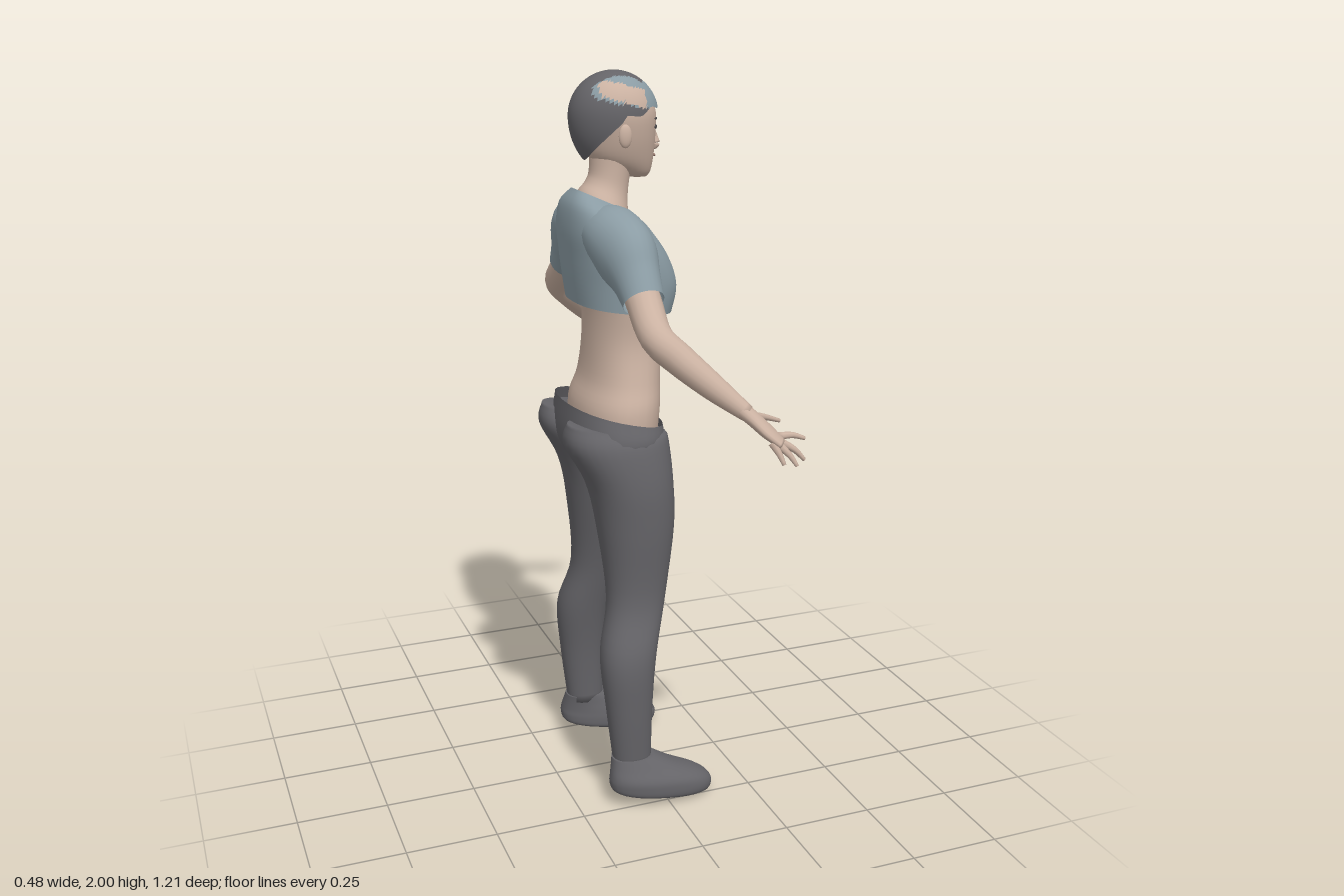
import * as THREE from 'three';

const mat = (name, color, side = THREE.FrontSide) => {
  const m = new THREE.MeshStandardMaterial({ color, side });
  m.name = name;
  return m;
};

// Catmull-Rom subdivision of rows of numbers
function smooth(rows, k = 5) {
  const out = [], n = rows.length;
  for (let i = 0; i < n - 1; i++) {
    const [a, b, c, d] = [rows[Math.max(i - 1, 0)], rows[i], rows[i + 1], rows[Math.min(i + 2, n - 1)]];
    for (let s = 0; s < k; s++) {
      const t = s / k;
      out.push(b.map((v, j) => v + 0.5 * t * (c[j] - a[j] +
        t * (2 * a[j] - 5 * v + 4 * c[j] - d[j] + t * (3 * (v - c[j]) + d[j] - a[j])))));
    }
  }
  out.push(rows[n - 1]);
  return out;
}

// Skin a list of closed rings (arrays of Vector3), with optional end caps
function skinRings(rings, capStart, capEnd) {
  const n = rings[0].length, pos = [], idx = [];
  rings.forEach(r => r.forEach(p => pos.push(p.x, p.y, p.z)));
  for (let i = 0; i < rings.length - 1; i++) for (let j = 0; j < n; j++) {
    const a = i * n + j, b = i * n + (j + 1) % n;
    idx.push(a, a + n, b, b, a + n, b + n);
  }
  const cap = (row, flip) => {
    const c = rings[row].reduce((s, p) => s.add(p), new THREE.Vector3()).divideScalar(n);
    const k = pos.length / 3;
    pos.push(c.x, c.y, c.z);
    for (let j = 0; j < n; j++) {
      const a = row * n + j, b = row * n + (j + 1) % n;
      flip ? idx.push(k, a, b) : idx.push(k, b, a);
    }
  };
  if (capStart) cap(0, true);
  if (capEnd) cap(rings.length - 1, false);
  const g = new THREE.BufferGeometry();
  g.setAttribute('position', new THREE.Float32BufferAttribute(pos, 3));
  g.setIndex(idx);
  g.computeVertexNormals();
  return g;
}

const sgnPow = (v, e) => Math.sign(v) * Math.abs(v) ** e;

// Stacked level rings: [y, back x, front x, z from, z to, tilt]
function stack(rows, { power = 2, start = true, end = true, n = 32 } = {}) {
  return skinRings(smooth(rows).map(([y, xb, xf, z0, z1, tilt]) =>
    Array.from({ length: n }, (_, j) => {
      const t = j / n * Math.PI * 2;
      const u = sgnPow(Math.cos(t), 2 / power), v = sgnPow(Math.sin(t), 2 / power);
      return new THREE.Vector3((xb + xf) / 2 + u * (xf - xb) / 2, y + tilt * u, (z0 + z1) / 2 + v * (z1 - z0) / 2);
    })), start, end);
}
const sym = rows => rows.map(([y, b, f, w, t = 0]) => [y, b, f, -w, w, t]);

// Limb along a path: [x, y, z, width radius, thickness radius]
function limb(path, { start = true, end = true, n = 16, k = 5 } = {}) {
  const rows = smooth(path, k), pts = rows.map(r => new THREE.Vector3(r[0], r[1], r[2]));
  return skinRings(rows.map((r, i) => {
    const T = pts[Math.min(i + 1, pts.length - 1)].clone().sub(pts[Math.max(i - 1, 0)]).normalize();
    const A = T.clone().cross(new THREE.Vector3(0, 1, 0)).normalize(), B = A.clone().cross(T);
    return Array.from({ length: n }, (_, j) => {
      const t = j / n * Math.PI * 2;
      return pts[i].clone().addScaledVector(A, r[3] * Math.cos(t)).addScaledVector(B, r[4] * Math.sin(t));
    });
  }), start, end);
}

// Copy reflected to the other side of z = 0
function mirrored(geo) {
  const g = geo.clone(), p = g.attributes.position, ix = g.index.array;
  for (let i = 0; i < p.count; i++) p.setZ(i, -p.getZ(i));
  for (let i = 0; i < ix.length; i += 3) [ix[i], ix[i + 1]] = [ix[i + 1], ix[i]];
  g.computeVertexNormals();
  return g;
}

// Ellipsoid baked into place
function blob(x, y, z, rx, ry, rz, turn = 0) {
  return new THREE.SphereGeometry(1, 16, 12).scale(rx, ry, rz).rotateY(turn).translate(x, y, z);
}

export function createModel() {
  const root = new THREE.Group();
  const skin = mat('skin', 0xcbb2a2);
  const shirt = mat('shirt blue grey', 0x8b9ca4, THREE.DoubleSide);
  const charcoal = mat('charcoal', 0x656468, THREE.DoubleSide);
  const eyeDark = mat('eye dark', 0x4c4a4c);
  const lip = mat('lip', 0x9c7a70);
  const add = (name, geo, material) => {
    const m = new THREE.Mesh(geo, material);
    m.name = name;
    root.add(m);
  };
  const pair = (name, geo, material) => {
    add('right' + name, geo, material);
    add('left' + name, mirrored(geo), material);
  };

  // Bare waist and neck
  add('waist', stack(sym([
    [1.0, -0.18, 0.03, 0.18], [1.12, -0.18, 0.042, 0.187], [1.2, -0.155, 0.046, 0.165],
    [1.3, -0.145, 0.052, 0.146], [1.4, -0.145, 0.058, 0.153], [1.48, -0.16, 0.05, 0.16]]), { power: 2.2 }), skin);
  add('neck', stack(sym([
    [1.58, -0.18, -0.03, 0.11, -0.03], [1.65, -0.165, -0.03, 0.085, -0.035], [1.7, -0.14, -0.03, 0.06, -0.02],
    [1.75, -0.13, -0.02, 0.056], [1.82, -0.13, 0, 0.06]])), skin);

  // Cropped shirt with short sleeves
  add('shirt', stack(sym([
    [1.392, -0.185, 0.076, 0.166, -0.015], [1.46, -0.194, 0.09, 0.174, -0.008], [1.53, -0.2, 0.062, 0.18],
    [1.6, -0.205, 0.012, 0.175, 0], [1.645, -0.198, -0.012, 0.145, -0.02], [1.668, -0.175, -0.018, 0.08, -0.035]]),
  { power: 2.5, start: false, end: false }), shirt);
  pair('Sleeve', limb([
    [-0.115, 1.605, 0.07, 0.075, 0.065], [-0.11, 1.59, 0.13, 0.08, 0.082], [-0.1, 1.548, 0.2, 0.074, 0.093],
    [-0.096, 1.5, 0.255, 0.06, 0.07], [-0.095, 1.455, 0.3, 0.053, 0.054]], { n: 24, end: false }), shirt);

  // Arms and hands
  pair('Arm', limb([
    [-0.1, 1.53, 0.23, 0.045, 0.045], [-0.095, 1.455, 0.3, 0.045, 0.046], [-0.095, 1.385, 0.385, 0.042, 0.042],
    [-0.05, 1.335, 0.425, 0.041, 0.04], [0.02, 1.27, 0.475, 0.032, 0.033], [0.09, 1.21, 0.522, 0.021, 0.021]]), skin);
  pair('Palm', limb([
    [0.07, 1.227, 0.508, 0.022, 0.021], [0.1, 1.2, 0.528, 0.027, 0.018],
    [0.135, 1.165, 0.548, 0.036, 0.016], [0.165, 1.138, 0.563, 0.033, 0.011]]), skin);
  const fingers = {
    Thumb: [[0.105, 1.2, 0.512], [0.15, 1.187, 0.492], [0.2, 1.168, 0.477]],
    IndexFinger: [[0.165, 1.15, 0.545], [0.202, 1.15, 0.546], [0.236, 1.138, 0.547]],
    MiddleFinger: [[0.163, 1.14, 0.556], [0.2, 1.118, 0.564], [0.226, 1.09, 0.568]],
    RingFinger: [[0.152, 1.138, 0.567], [0.178, 1.112, 0.582], [0.194, 1.085, 0.594]],
    LittleFinger: [[0.135, 1.145, 0.573], [0.147, 1.12, 0.588], [0.156, 1.094, 0.6]],
  };
  for (const [name, pts] of Object.entries(fingers))
    pair(name, limb(pts.map((p, i) => [...p, 0.011 - i * 0.003, 0.011 - i * 0.003]), { n: 8, k: 3 }), skin);

  // Trousers
  add('trouserWaist', stack(sym([
    [0.925, -0.15, 0.025, 0.05], [0.97, -0.19, 0.045, 0.17], [1.04, -0.222, 0.05, 0.218],
    [1.105, -0.217, 0.05, 0.198, -0.034]]), { power: 2.3, end: false }), charcoal);
  pair('TrouserLeg', stack([
    [0.125, -0.145, -0.038, 0.16, 0.247, 0], [0.3, -0.165, -0.035, 0.145, 0.262, 0],
    [0.45, -0.175, -0.02, 0.118, 0.264, 0], [0.6, -0.143, 0.02, 0.082, 0.224, 0],
    [0.8, -0.16, 0.05, 0.026, 0.235, 0], [0.93, -0.187, 0.05, 0, 0.238, 0],
    [1.04, -0.244, 0.043, -0.005, 0.222, 0], [1.08, -0.235, 0.035, 0.03, 0.195, -0.02]], { power: 2.2 }), charcoal);

  // Shoes
  pair('Shoe', stack([
    [0.022, -0.125, 0.11, 0.165, 0.27, -0.018], [0.034, -0.155, 0.137, 0.152, 0.288, -0.018],
    [0.06, -0.162, 0.138, 0.15, 0.292, -0.014], [0.085, -0.16, 0.105, 0.153, 0.288, -0.01],
    [0.115, -0.155, 0.03, 0.158, 0.268, -0.005], [0.145, -0.15, -0.032, 0.16, 0.25, 0.0]], { power: 2.3 }), charcoal);

  // Head and face
  add('head', stack(sym([
    [1.727, -0.02, 0.026, 0.02], [1.742, -0.07, 0.036, 0.042], [1.78, -0.13, 0.043, 0.067],
    [1.84, -0.15, 0.047, 0.086], [1.9, -0.16, 0.046, 0.092], [1.95, -0.14, 0.018, 0.072],
    [1.98, -0.1, -0.03, 0.03]])), skin);
  add('nose', limb([[0.037, 1.865, 0, 0.007, 0.007], [0.047, 1.83, 0, 0.01, 0.01],
    [0.051, 1.81, 0, 0.015, 0.012], [0.045, 1.798, 0, 0.01, 0.006]], { n: 10 }), skin);
  pair('Ear', blob(-0.065, 1.84, 0.09, 0.018, 0.03, 0.01), skin);
  pair('Eye', blob(0.037, 1.857, 0.039, 0.004, 0.006, 0.014, -0.42), eyeDark);
  pair('Brow', blob(0.037, 1.878, 0.04, 0.004, 0.003, 0.018, -0.42), eyeDark);
  add('mouth', blob(0.043, 1.782, 0, 0.004, 0.005, 0.022), lip);

  // Short hair: a shell from a varying hairline up to the crown
  const n = 64, rings = [];
  for (let i = 0; i <= 24; i++) {
    const t = Math.sin(i / 24 * Math.PI / 2);
    rings.push(Array.from({ length: n }, (_, j) => {
      const a = j / n * Math.PI * 2, u = Math.cos(a);
      const line = u > 0 ? 1.885 + 0.03 * u + 0.006 * Math.sin(a * 9) : 1.885 + 0.11 * u;
      const y = line + (1.9995 - line) * t, d = (y - 1.885) / (y > 1.885 ? 0.115 : 0.15);
      const r = Math.sqrt(Math.max(0, 1 - d * d));
      return new THREE.Vector3(-0.065 + 0.119 * r * u, y, 0.105 * r * Math.sin(a));
    }));
  }
  const hair = skinRings(rings, false, true);
  // Sort its faces into dark, blue grey and bare patches
  const p = hair.attributes.position, ix = hair.index.array, sets = [[], [], []];
  for (let i = 0; i < ix.length; i += 3) {
    const f = [ix[i], ix[i + 1], ix[i + 2]];
    const mean = get => f.reduce((s, v) => s + p[get](v), 0) / 3;
    const x = mean('getX'), y = mean('getY'), z = mean('getZ');
    const bare = z > 0.05 && x > -0.125 && x < -0.005 && Math.abs(y - 1.945 + 0.25 * (x + 0.065)) < 0.022;
    const blue = (x > 0 && y < 1.972) || (z > 0.048 && x > -0.14 && y > 1.905 - x * 0.2) ||
      (z < -0.05 && x > -0.09 && y > 1.905);
    sets[bare ? 2 : blue ? 1 : 0].push(...f);
  }
  hair.setIndex(sets.flat());
  let at = 0;
  sets.forEach((s, k) => { hair.addGroup(at, s.length, k); at += s.length; });
  add('hair', hair, [charcoal, shirt, skin]);

  return root;
}
